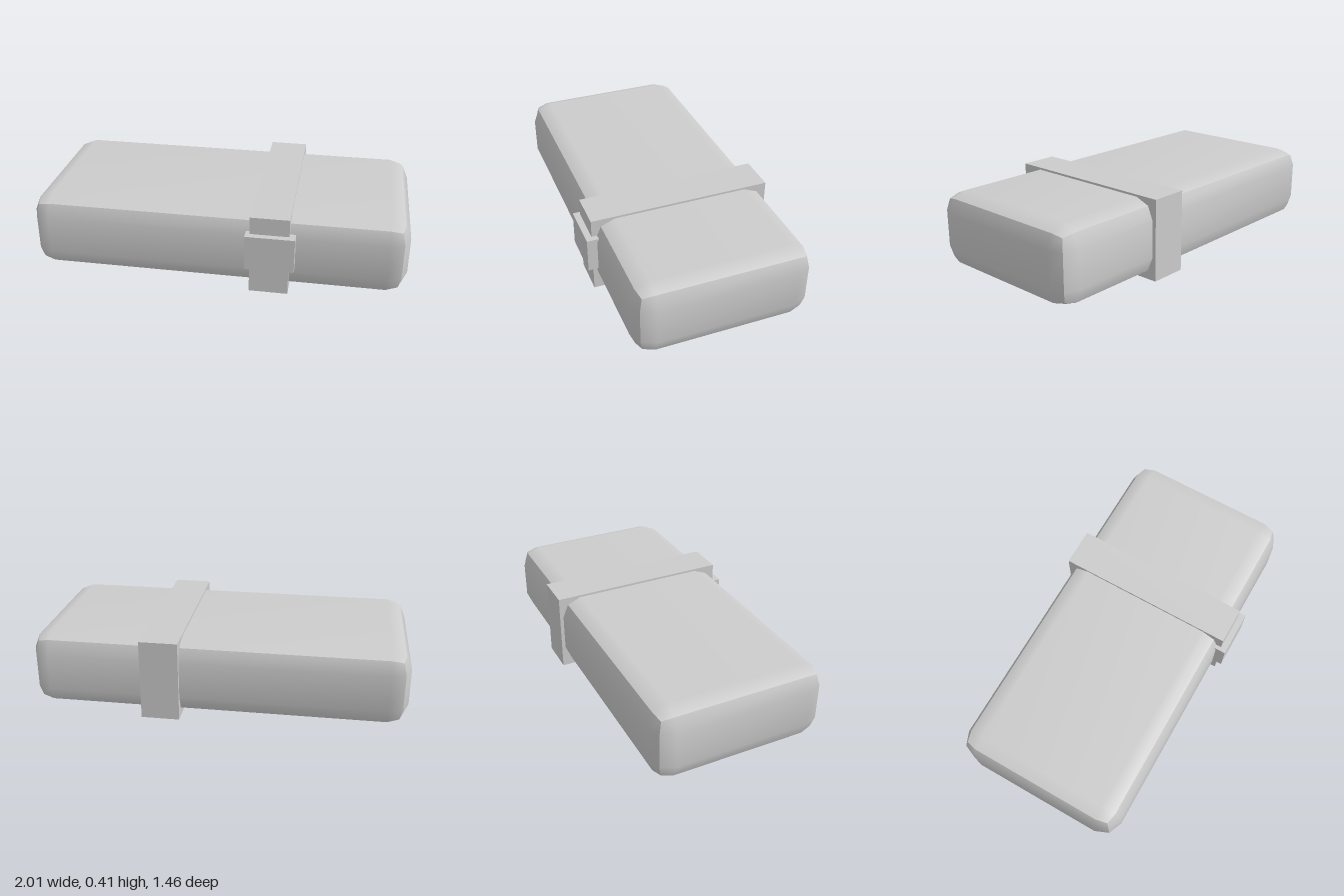
import * as THREE from 'three';

// Box with two-segment rounded edges; each of the six sides is smoothed on its own,
// so a crease stays along the middle of every bevel.
function bevelledBox(size, r) {
  const geo = new THREE.BoxGeometry(2, 2, 2, 3, 3, 3);
  const pos = geo.attributes.position;
  const half = size.clone().multiplyScalar(0.5);
  const inner = half.clone().subScalar(r);
  for (let i = 0; i < pos.count; i++) {
    const c = new THREE.Vector3().fromBufferAttribute(pos, i);
    const sign = new THREE.Vector3(Math.sign(c.x), Math.sign(c.y), Math.sign(c.z));
    // only coordinates on the outer shell push outwards
    const out = new THREE.Vector3(Math.trunc(c.x * 1.001), Math.trunc(c.y * 1.001), Math.trunc(c.z * 1.001));
    const p = inner.clone().multiply(sign).addScaledVector(out.normalize(), r);
    pos.setXYZ(i, p.x, p.y, p.z);
  }
  geo.computeVertexNormals();
  return geo;
}

export function createModel() {
  const model = new THREE.Group();
  model.name = 'strappedCushion';
  const grey = new THREE.MeshStandardMaterial({ color: 0xcccccc });
  grey.name = 'light grey';

  const add = (name, geo, x, y, z) => {
    const mesh = new THREE.Mesh(geo, grey);
    mesh.name = name;
    mesh.position.set(x, y, z);
    model.add(mesh);
  };

  // Soft-edged body
  add('body', bevelledBox(new THREE.Vector3(1.89, 0.386, 0.886), 0.1), 0, 0.208, 0);
  // Band around the body
  add('strap', new THREE.BoxGeometry(0.193, 0.412, 0.924), 0.275, 0.206, 0);
  // Raised block on the front of the band
  add('buckle', new THREE.BoxGeometry(0.243, 0.178, 0.06), 0.279, 0.234, 0.464);

  // The whole piece lies turned on the ground
  model.rotation.y = -THREE.MathUtils.degToRad(22.2);
  return model;
}
